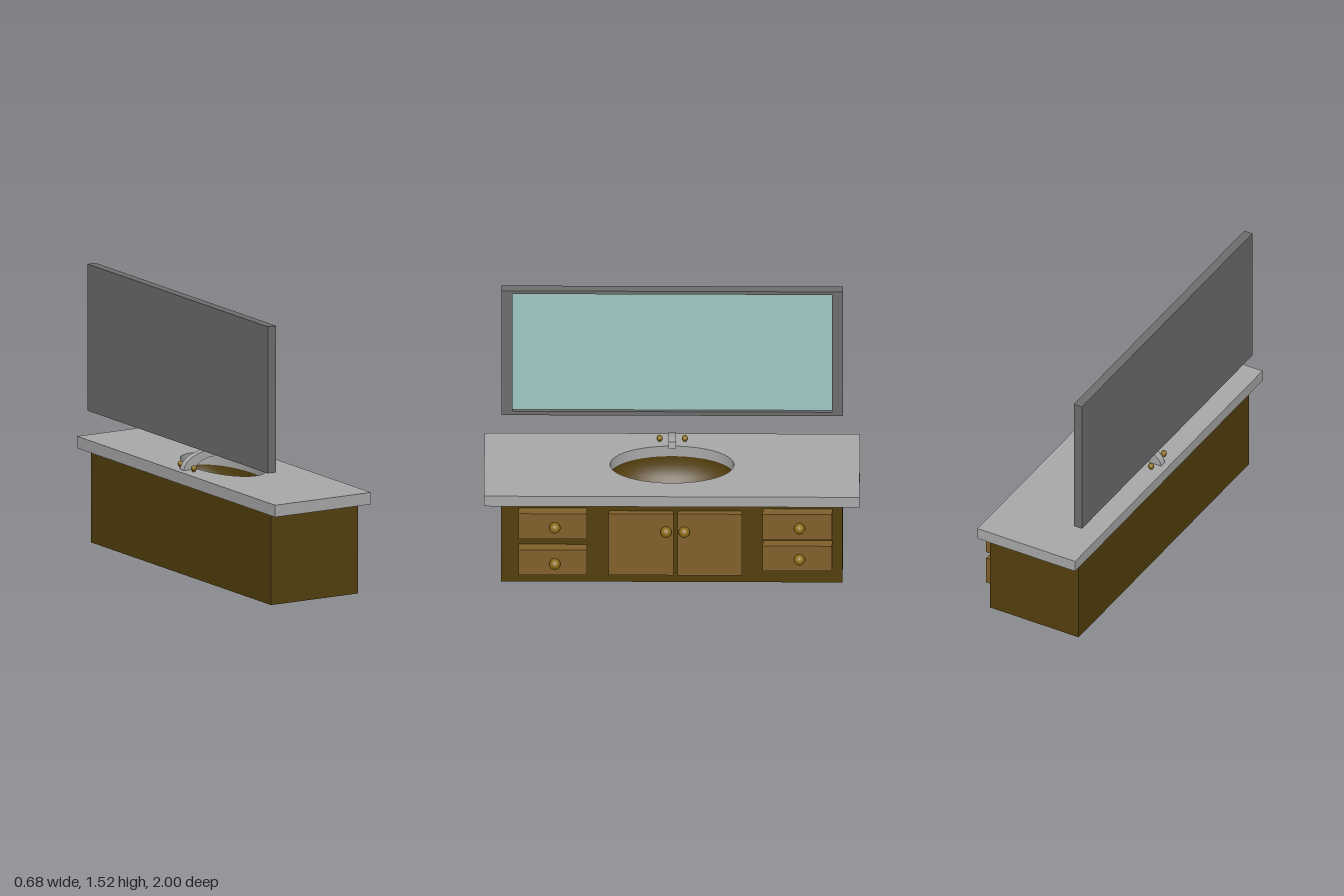
import * as THREE from 'three';

const material = (name, color, side = THREE.FrontSide) => {
  const m = new THREE.MeshStandardMaterial({ color, side });
  m.name = name;
  return m;
};

export function createModel() {
  const group = new THREE.Group();
  const darkWood = material('dark wood', 0x54400e, THREE.DoubleSide);
  const lightWood = material('light wood', 0x82612c);
  const stone = material('grey stone', 0xaaaaaa);
  const frameGrey = material('frame grey', 0x6e6e6e);
  const glass = material('mirror glass', 0xa0c9c5);
  const brass = material('brass', 0x8a6a16);

  const add = (name, geometry, mat) => {
    const mesh = new THREE.Mesh(geometry, mat);
    mesh.name = name;
    group.add(mesh);
    return mesh;
  };
  // Box given by its lower and upper limits on each axis
  const box = (name, mat, x0, x1, y0, y1, z0, z1) =>
    add(name, new THREE.BoxGeometry(x1 - x0, y1 - y0, z1 - z0), mat)
      .position.set((x0 + x1) / 2, (y0 + y1) / 2, (z0 + z1) / 2);
  const ball = (name, r, x, y, z) =>
    add(name, new THREE.SphereGeometry(r, 20, 14), brass).position.set(x, y, z);
  const rectangle = (x0, x1, y0, y1, Type = THREE.Shape) => new Type([
    new THREE.Vector2(x0, y0), new THREE.Vector2(x1, y0),
    new THREE.Vector2(x1, y1), new THREE.Vector2(x0, y1),
  ]);

  // Horizontal slab pierced by the oval basin opening
  const basin = { x: -0.045, rx: 0.175, rz: 0.33, depth: 0.18 };
  const slab = (name, mat, x0, x1, z, y0, y1) => {
    const shape = rectangle(x0, x1, -z, z);
    shape.holes.push(new THREE.Path().absellipse(basin.x, 0, basin.rx, basin.rz, 0, Math.PI * 2, true));
    const geometry = new THREE.ExtrudeGeometry(shape, { depth: y1 - y0, bevelEnabled: false, curveSegments: 48 });
    add(name, geometry.rotateX(-Math.PI / 2).translate(0, y0, 0), mat);
  };

  // Cabinet, countertop and basin
  box('cabinetBase', darkWood, -0.31, 0.235, 0, 0.3, -0.91, 0.91);
  slab('cabinetTop', darkWood, -0.31, 0.235, 0.91, 0.3, 0.5);
  slab('countertop', stone, -0.34, 0.26, 1, 0.5, 0.565);
  const bowl = new THREE.SphereGeometry(1, 48, 12, 0, Math.PI * 2, Math.PI / 2, Math.PI / 2);
  bowl.scale(basin.rx, basin.depth, basin.rz);
  add('basin', bowl, darkWood).position.set(basin.x, 0.5, 0);

  // Drawers: y0, y1, z0, z1, knob y, knob z
  for (const [y0, y1, z0, z1, ky, kz] of [
    [0.31, 0.473, 0.45, 0.815, 0.393, 0.622],
    [0.08, 0.24, 0.45, 0.815, 0.16, 0.622],
    [0.31, 0.473, -0.855, -0.485, 0.393, -0.68],
    [0.11, 0.27, -0.855, -0.485, 0.193, -0.68],
  ]) {
    box('drawer', lightWood, 0.235, 0.29, y0, y1, z0, z1);
    ball('drawerKnob', 0.03, 0.306, ky, kz);
  }

  // Double doors
  for (const [z0, z1, kz] of [[-0.01, 0.335, 0.03], [-0.375, -0.03, -0.067]]) {
    box('door', lightWood, 0.235, 0.265, 0.063, 0.457, z0, z1);
    ball('doorKnob', 0.03, 0.276, 0.348, kz);
  }

  // Curved spout, wide at the foot
  const spout = new THREE.Shape();
  spout.moveTo(-0.305, 0.56);
  spout.bezierCurveTo(-0.3, 0.62, -0.22, 0.662, -0.12, 0.66);
  spout.lineTo(-0.112, 0.622);
  spout.bezierCurveTo(-0.17, 0.622, -0.225, 0.6, -0.234, 0.56);
  const spoutGeometry = new THREE.ExtrudeGeometry(spout, { depth: 0.04, bevelEnabled: false, curveSegments: 12 });
  add('spout', spoutGeometry.translate(0, 0, -0.02), stone);

  // Tap handles on short stems
  for (const z of [-0.067, 0.067]) {
    ball('tapHandle', 0.016, -0.27, 0.583, z);
    add('tapStem', new THREE.CylinderGeometry(0.009, 0.009, 0.02, 12), brass).position.set(-0.27, 0.57, z);
  }

  // Wall mirror with a raised frame
  box('mirrorBack', frameGrey, -0.33, -0.302, 0.72, 1.52, -0.91, 0.91);
  const frame = rectangle(-0.91, 0.91, 0.72, 1.52);
  frame.holes.push(rectangle(-0.85, 0.85, 0.745, 1.5, THREE.Path));
  const frameGeometry = new THREE.ExtrudeGeometry(frame, { depth: 0.022, bevelEnabled: false });
  add('mirrorFrame', frameGeometry.rotateY(Math.PI / 2).translate(-0.302, 0, 0), frameGrey);
  box('mirrorGlass', glass, -0.302, -0.298, 0.745, 1.5, -0.85, 0.85);

  return group;
}
